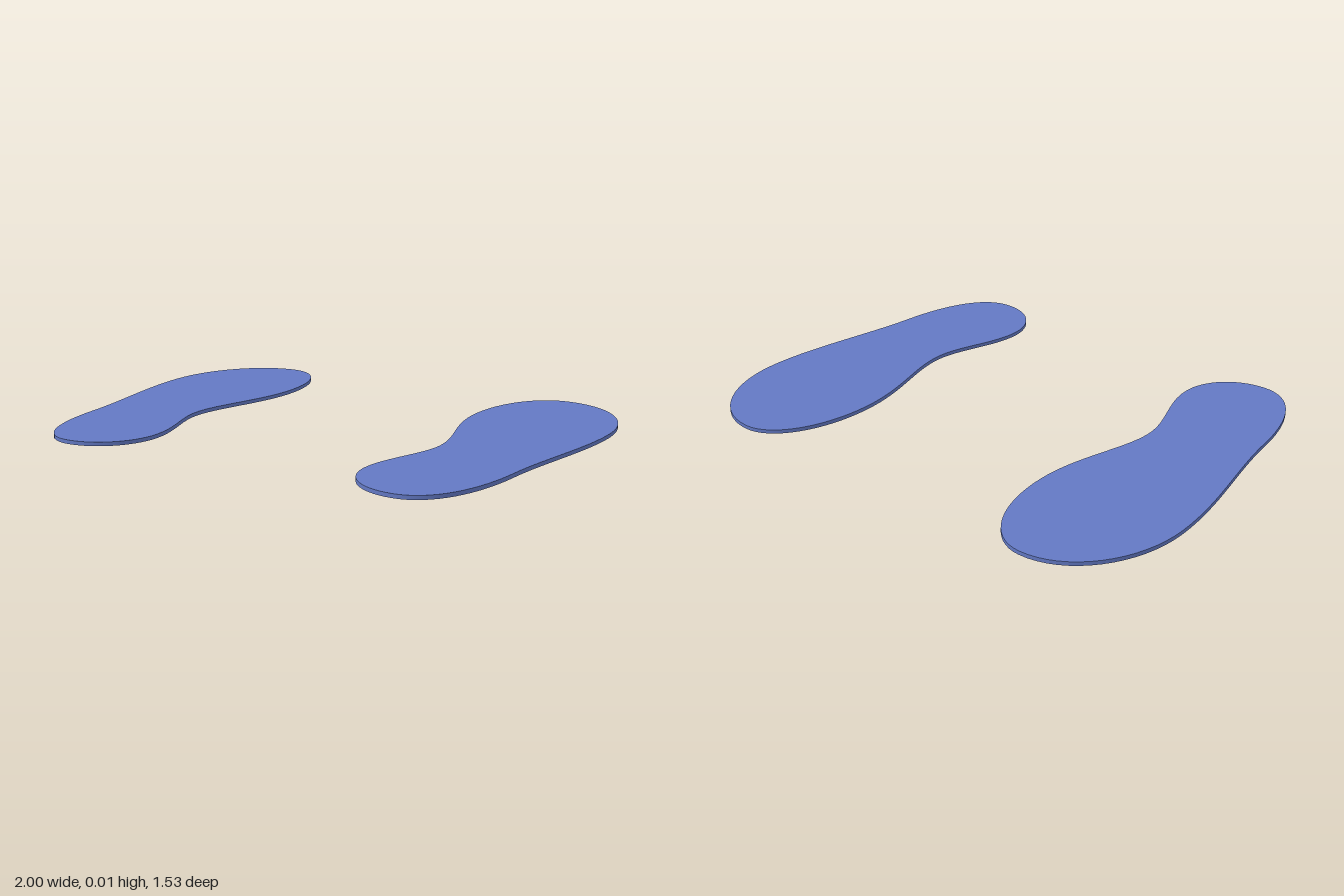
import * as THREE from 'three';
import { toCreasedNormals } from 'three/addons/utils/BufferGeometryUtils.js';

const THICKNESS = 0.015;

// Sole outline from the toe tip round the outer edge: two controls and an end per curve, as x, z
const TOE = [0.666, -0.768];
const CURVES = [
  [0.85, -0.768, 1, -0.573, 1, -0.33],        // outer toe
  [1, -0.1, 0.925, 0.13, 0.905, 0.35],        // outer side
  [0.885, 0.58, 0.81, 0.765, 0.666, 0.765],   // outer heel
  [0.54, 0.765, 0.443, 0.665, 0.443, 0.54],   // inner heel
  [0.443, 0.4, 0.533, 0.28, 0.533, 0.15],     // arch, rear
  [0.533, 0, 0.433, -0.16, 0.433, -0.37],     // arch, front
  [0.433, -0.6, 0.535, -0.768, ...TOE],       // inner toe
];

// side: 1 for the model's left (+x), -1 for its right
function soleGeometry(side) {
  const shape = new THREE.Shape();
  shape.moveTo(side * TOE[0], -TOE[1]);
  for (const [ax, az, bx, bz, x, z] of CURVES) {
    shape.bezierCurveTo(side * ax, -az, side * bx, -bz, side * x, -z);
  }
  const geometry = new THREE.ExtrudeGeometry(shape, {
    depth: THICKNESS, bevelEnabled: false, curveSegments: 16,
  });
  geometry.rotateX(-Math.PI / 2);
  return toCreasedNormals(geometry, Math.PI / 4);
}

export function createModel() {
  const group = new THREE.Group();
  group.name = 'footprints';
  const material = new THREE.MeshStandardMaterial({ color: 0x6379c4 });
  for (const [name, side] of [['leftSole', 1], ['rightSole', -1]]) {
    const sole = new THREE.Mesh(soleGeometry(side), material);
    sole.name = name;
    group.add(sole);
  }
  return group;
}
